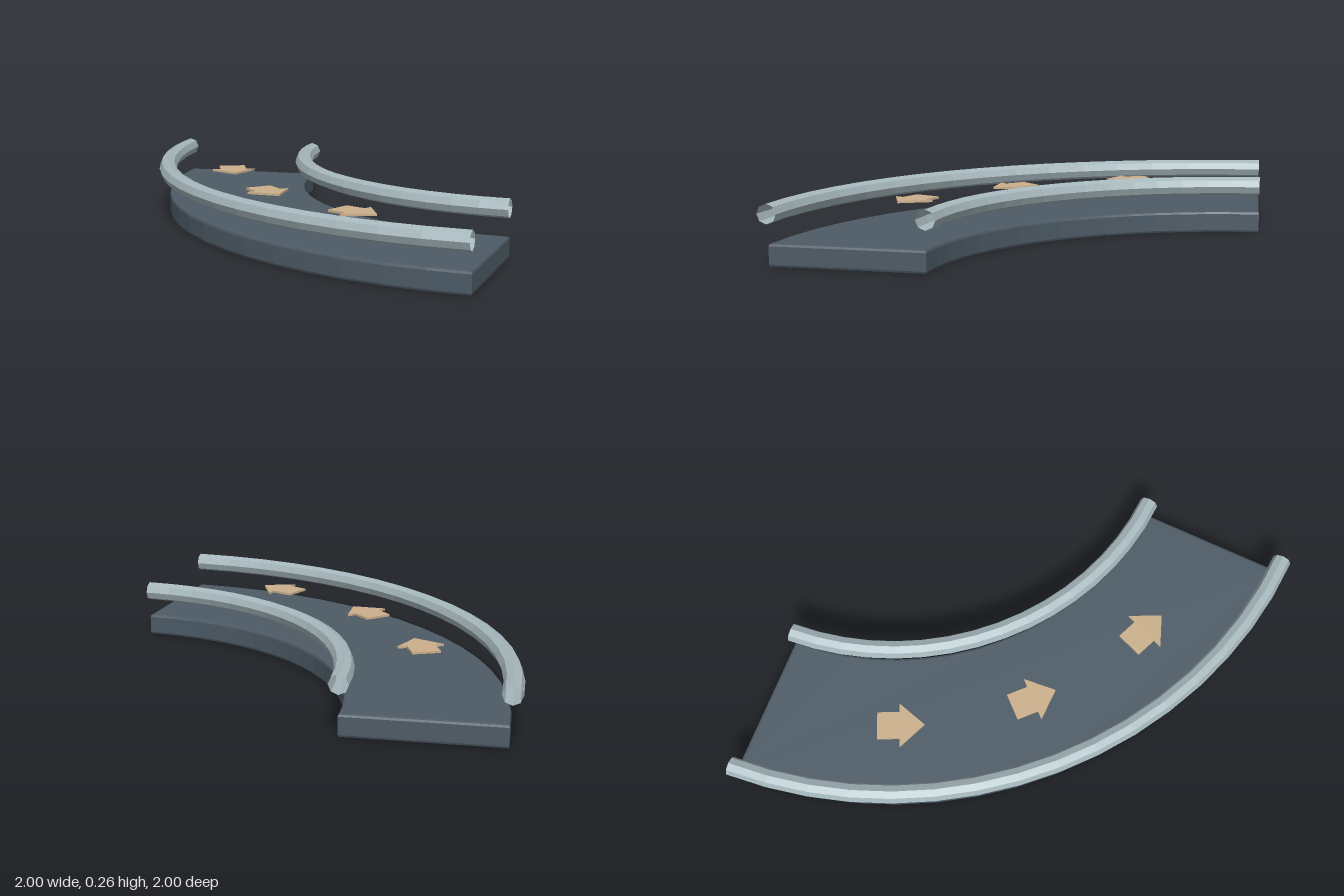
import * as THREE from 'three';

// All parts follow concentric arcs round one bend centre
const CENTRE_X = 1.06, CENTRE_Z = -1.06;
const START = 0.045, END = Math.PI / 2 - 0.045;
const SEGMENTS = 16;

// Point on the bend at a radius and angle (0 points to -x, 90 degrees to +z)
const onBend = (r, a, y = 0) =>
  new THREE.Vector3(CENTRE_X - r * Math.cos(a), y, CENTRE_Z + r * Math.sin(a));

class BendCurve extends THREE.Curve {
  constructor(radius, y) {
    super();
    this.radius = radius;
    this.y = y;
  }
  getPoint(t, target = new THREE.Vector3()) {
    return target.copy(onBend(this.radius, THREE.MathUtils.lerp(START, END, t), this.y));
  }
}

const material = (color, side = THREE.FrontSide) =>
  new THREE.MeshStandardMaterial({ color, side, flatShading: true });

// Horizontal plate with chamfered edges, standing on y = 0; outline is in x and -z
function plate(points, height, bevel) {
  const geometry = new THREE.ExtrudeGeometry(new THREE.Shape(points), {
    depth: height - 2 * bevel, bevelEnabled: bevel > 0, bevelThickness: bevel,
    bevelSize: bevel, bevelOffset: -bevel, bevelSegments: 2,
  });
  return geometry.translate(0, 0, bevel).rotateX(-Math.PI / 2);
}

function addMesh(group, name, geometry, mat) {
  const mesh = new THREE.Mesh(geometry, mat);
  mesh.name = name;
  group.add(mesh);
  return mesh;
}

export function createModel() {
  const model = new THREE.Group();
  model.name = 'curvedConveyor';

  // Curved belt slab
  const outer = [], inner = [];
  for (let i = 0; i <= SEGMENTS; i++) {
    const a = THREE.MathUtils.lerp(START, END, i / SEGMENTS);
    const o = onBend(2.01, a), n = onBend(1.33, a);
    outer.push(new THREE.Vector2(o.x, -o.z));
    inner.unshift(new THREE.Vector2(n.x, -n.z));
  }
  addMesh(model, 'belt', plate([...outer, ...inner], 0.1, 0.012), material(0x4d5b66));

  // Hollow guard rails along both edges
  const railMaterial = material(0xa6b8bd, THREE.DoubleSide);
  for (const [name, radius] of [['innerRail', 1.333], ['outerRail', 2.017]]) {
    const curve = new BendCurve(radius, 0.222);
    addMesh(model, name, new THREE.TubeGeometry(curve, SEGMENTS, 0.043, 8), railMaterial);
  }

  // Direction arrows hovering over the belt, pointing along +x before turning
  const half = [[-0.107, 0.063], [-0.007, 0.063], [-0.007, 0.104], [0.107, 0]];
  const outline = [
    ...half,
    ...half.slice(0, 3).reverse().map(([x, y]) => [x, -y]),
  ].map(([x, y]) => new THREE.Vector2(x, y));
  const arrowGeometry = plate(outline, 0.01, 0);
  const arrowMaterial = material(0xcbb08c);
  for (const degrees of [24.8, 45.7, 66.6]) {
    const a = THREE.MathUtils.degToRad(degrees);
    const arrow = addMesh(model, 'directionArrow', arrowGeometry, arrowMaterial);
    arrow.position.copy(onBend(1.695, a, 0.208));
    arrow.rotation.y = a - Math.PI / 2;
  }

  return model;
}
